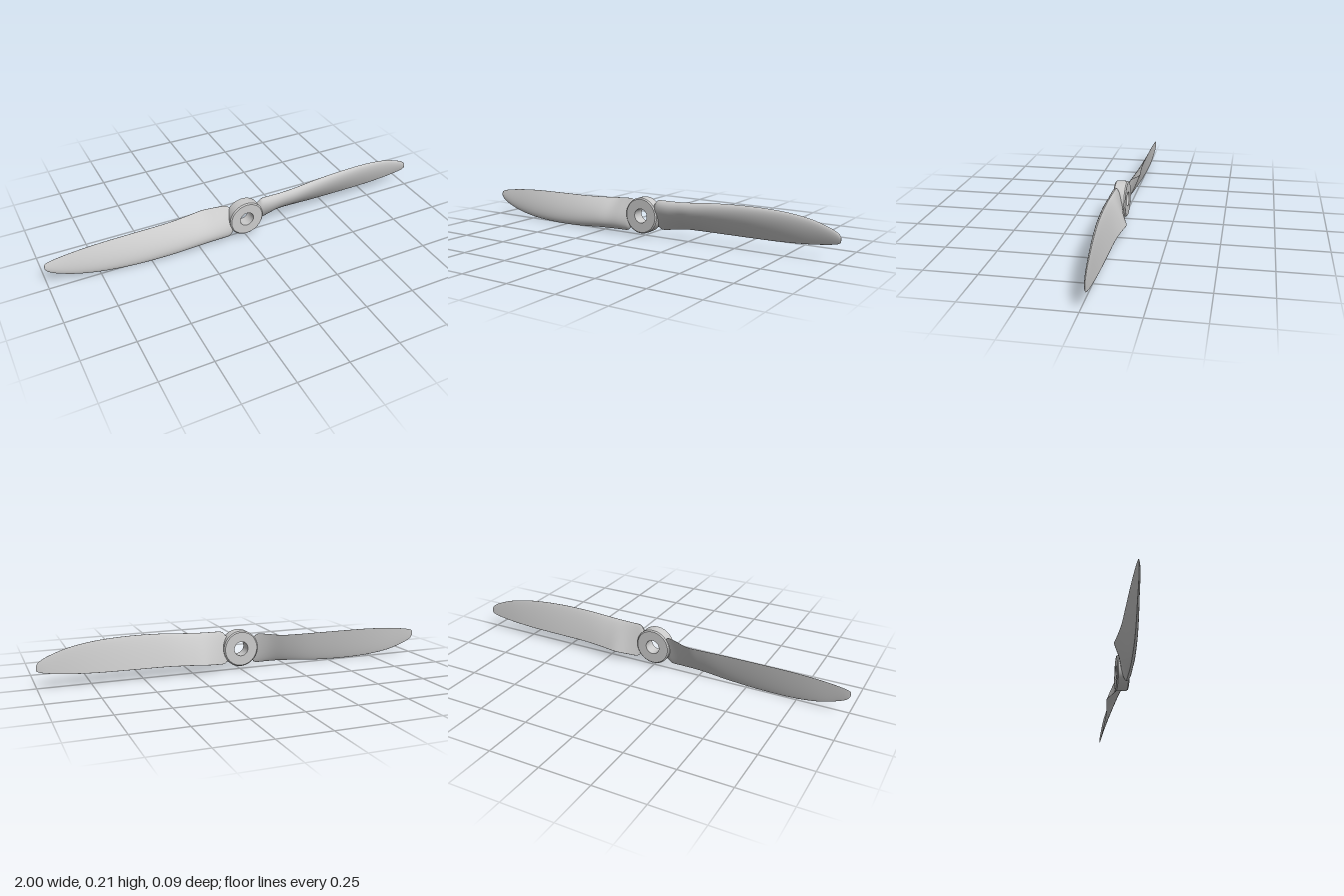
import * as THREE from 'three';

const AXIS_Y = 0.108;

// Blade stations along the span, y measured from the hub axis:
// x, leading edge y, z, trailing edge y, z, thickness
const STATIONS = [
  [0.05, 0.045, 0.012, -0.040, -0.010, 0.020],
  [0.072, 0.068, 0.018, -0.058, -0.014, 0.026],
  [0.092, 0.086, 0.022, -0.070, -0.019, 0.032],
  [0.14, 0.088, 0.024, -0.067, -0.032, 0.037],
  [0.205, 0.089, 0.025, -0.060, -0.048, 0.038],
  [0.28, 0.093, 0.024, -0.056, -0.042, 0.036],
  [0.40, 0.102, 0.018, -0.053, -0.033, 0.030],
  [0.56, 0.106, 0.009, -0.052, -0.031, 0.024],
  [0.72, 0.099, -0.003, -0.050, -0.030, 0.018],
  [0.85, 0.079, -0.014, -0.043, -0.029, 0.013],
  [0.94, 0.050, -0.020, -0.033, -0.028, 0.009],
  [0.985, 0.027, -0.024, -0.024, -0.027, 0.006],
  [1.0, 0.008, -0.025, -0.016, -0.026, 0.003],
];

const curve = (pick) => new THREE.CatmullRomCurve3(
  STATIONS.map((s) => new THREE.Vector3(...pick(s))), false, 'catmullrom', 0.5);

// Lofted airfoil: rounded leading edge, thin trailing edge, nearly flat back
function bladeGeometry() {
  const lead = curve((s) => [s[0], s[1], s[2]]);
  const trail = curve((s) => [s[0], s[3], s[4]]);
  const thick = curve((s) => [s[0], s[5], 0]);
  const rings = 96, half = 20, n = half * 2;
  const pos = [], index = [];

  for (let i = 0; i <= rings; i++) {
    const t = i / rings;
    const a = lead.getPoint(t), b = trail.getPoint(t), h = thick.getPoint(t).y;
    const dy = b.y - a.y, dz = b.z - a.z, len = Math.hypot(dy, dz);
    const ny = dz / len, nz = -dy / len;
    for (let j = 0; j < n; j++) {
      // first half runs down the front, second half back up the rear
      const front = j < half;
      const s = (1 - Math.cos((Math.PI * j) / half)) / 2;
      const bulge = Math.sqrt(s) * (1 - s) / 0.385;
      const off = h * (front ? bulge : -0.18 * bulge);
      pos.push(a.x, a.y + dy * s + ny * off, a.z + dz * s + nz * off);
    }
  }
  for (let i = 0; i < rings; i++) {
    for (let j = 0; j < n; j++) {
      const k = (j + 1) % n;
      const p = i * n + j, q = i * n + k;
      index.push(p, q, p + n, q, q + n, p + n);
    }
  }
  // Root and tip caps
  for (let j = 1; j < n - 1; j++) {
    const e = rings * n;
    index.push(0, j + 1, j, e, e + j, e + j + 1);
  }
  const geo = new THREE.BufferGeometry();
  geo.setAttribute('position', new THREE.Float32BufferAttribute(pos, 3));
  geo.setIndex(index);
  geo.computeVertexNormals();
  return geo;
}

// Ring with chamfered outer rims and a bore, turned about z
function hubGeometry() {
  const back = -0.02, front = 0.043, r = 0.09, bore = 0.036, c = 0.006;
  const profile = [
    [bore, back], [r - c, back], [r, back + c], [r, front - c],
    [r - c, front], [bore, front], [bore, back],
  ];
  const pos = [];
  const seg = 64;
  // separate bands keep the rims crisp while the walls stay smooth
  return profile.slice(1).map((p, i) => {
    const pts = [profile[i], p].map(([x, y]) => new THREE.Vector2(x, y));
    return new THREE.LatheGeometry(pts, seg).rotateX(Math.PI / 2);
  });
}

export function createModel() {
  const model = new THREE.Group();
  model.name = 'propeller';
  const material = new THREE.MeshStandardMaterial({ color: 0xcccccc, side: THREE.DoubleSide });

  const hub = new THREE.Group();
  hub.name = 'hub';
  const bands = ['backFace', 'backRim', 'outerWall', 'frontRim', 'frontFace', 'bore'];
  hubGeometry().forEach((geo, i) => {
    const mesh = new THREE.Mesh(geo, material);
    mesh.name = bands[i];
    hub.add(mesh);
  });
  hub.position.y = AXIS_Y;
  model.add(hub);

  // Two identical blades, half a turn apart
  const blade = bladeGeometry();
  ['leftBlade', 'rightBlade'].forEach((name, i) => {
    const mesh = new THREE.Mesh(blade, material);
    mesh.name = name;
    mesh.position.y = AXIS_Y;
    mesh.rotation.z = i * Math.PI;
    model.add(mesh);
  });
  return model;
}
